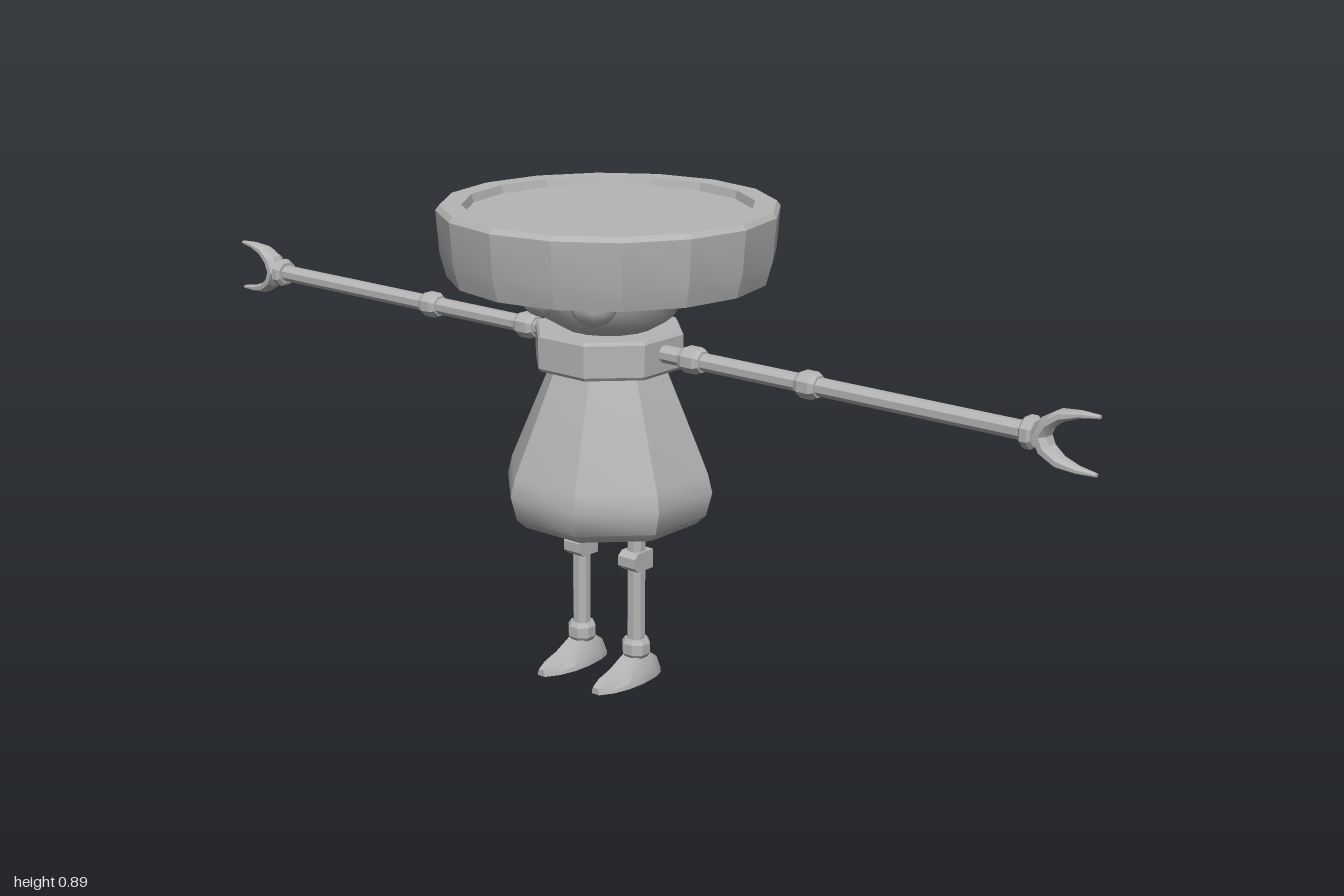
import * as THREE from 'three';
import { toCreasedNormals } from 'three/addons/utils/BufferGeometryUtils.js';

const grey = new THREE.MeshStandardMaterial({ color: 0xb5b5b5 });
grey.name = 'grey';

function add(parent, name, geometry, crease = 0.3) {
  const mesh = new THREE.Mesh(toCreasedNormals(geometry, crease), grey);
  mesh.name = name;
  parent.add(mesh);
  return mesh;
}

// Faceted turned shape; flats face the axes, and the radii are measured to the flats
function turned(profile, sides = 8) {
  const k = 1 / Math.cos(Math.PI / sides);
  const points = profile.map(([r, y]) => new THREE.Vector2(r * k, y));
  return new THREE.LatheGeometry(points, sides, Math.PI / sides);
}

// Rod or chamfered joint centred on the origin
const rod = (r, h) => turned([[0, -h], [r, -h], [r, h], [0, h]]);
const joint = (r, h) => turned([[0, -h], [r * 0.8, -h], [r, -h * 0.55], [r, h * 0.55], [r * 0.8, h], [0, h]]);

// Closed skin over a row of cross-sections
function loft(rings) {
  const n = rings[0].length, last = (rings.length - 1) * n, index = [];
  for (let i = 0; i < last; i += n) {
    for (let j = 0; j < n; j++) {
      const k = (j + 1) % n;
      index.push(i + j, i + k, i + n + j, i + k, i + n + k, i + n + j);
    }
  }
  for (let j = 1; j < n - 1; j++) {
    index.push(0, j + 1, j, last, last + j, last + j + 1);
  }
  const geometry = new THREE.BufferGeometry().setFromPoints(rings.flat());
  geometry.setIndex(index);
  return geometry;
}

// Open claw: a tapering band swept around a C
function clawGeometry() {
  // x, y, half thickness, half width
  const half = [
    [0.998, 0.047, 0.003, 0.005], [0.965, 0.045, 0.006, 0.011],
    [0.932, 0.038, 0.010, 0.017], [0.908, 0.022, 0.012, 0.021],
  ];
  const lower = half.map(([x, y, t, w]) => [x, -y, t, w]).reverse();
  const path = [...half, [0.897, 0, 0.014, 0.022], ...lower];
  const rings = path.map(([x, y, t, w], i) => {
    const a = path[Math.max(i - 1, 0)], b = path[Math.min(i + 1, path.length - 1)];
    const tangent = new THREE.Vector3(b[0] - a[0], b[1] - a[1], 0).normalize();
    const side = new THREE.Vector3(0, 0, 1);
    const out = tangent.clone().cross(side);
    return Array.from({ length: 8 }, (_, j) => {
      const angle = (j + 0.5) * Math.PI / 4;
      return new THREE.Vector3(x, y, 0)
        .addScaledVector(side, w * 1.08 * Math.cos(angle))
        .addScaledVector(out, t * 1.08 * Math.sin(angle));
    });
  });
  return loft(rings);
}

function footGeometry() {
  // z, half width of sole, half width of top, height
  const sections = [
    [-0.06, 0.010, 0.006, 0.006], [-0.045, 0.023, 0.012, 0.03],
    [-0.02, 0.031, 0.016, 0.047], [0.02, 0.035, 0.016, 0.045],
    [0.055, 0.033, 0.017, 0.026], [0.09, 0.024, 0.014, 0.018],
    [0.115, 0.009, 0.006, 0.012],
  ];
  return loft(sections.map(([z, w, t, h]) => [
    [w, 0], [w * 0.95, h * 0.35], [t, h], [-t, h], [-w * 0.95, h * 0.35], [-w, 0],
  ].map(([x, y]) => new THREE.Vector3(x, y, z))));
}

// Knee block with a chamfered front
function kneeGeometry() {
  const profile = [[-0.024, -0.018], [0.018, -0.018], [0.028, -0.009], [0.028, 0.009], [0.018, 0.018], [-0.024, 0.018]];
  const shape = new THREE.Shape(profile.map(([z, y]) => new THREE.Vector2(z, y)));
  return new THREE.ExtrudeGeometry(shape, { depth: 0.04, bevelEnabled: false })
    .translate(0, 0, -0.02).rotateY(-Math.PI / 2);
}

export function createModel() {
  const model = new THREE.Group();
  model.name = 'robot';

  // Wide flat hat with a sunken lid
  add(model, 'hat', new THREE.LatheGeometry([
    [0, 0.755], [0.29, 0.757], [0.302, 0.8], [0.308, 0.878], [0.301, 0.887],
    [0.262, 0.887], [0.258, 0.872], [0, 0.872],
  ].map(([x, y]) => new THREE.Vector2(x, y)), 16));

  // Rounded head and bulging eyes
  add(model, 'head', turned([
    [0, 0.655], [0.078, 0.662], [0.115, 0.684], [0.132, 0.715], [0.146, 0.76], [0, 0.76],
  ], 16), 0.7);
  for (const side of [1, -1]) {
    const eye = add(model, side > 0 ? 'leftEye' : 'rightEye', new THREE.SphereGeometry(0.043, 14, 10), 0.8);
    eye.position.set(side * 0.06, 0.733, 0.109);
  }

  // Collar and pear-shaped body with a sunken base
  add(model, 'collar', turned([
    [0, 0.593], [0.126, 0.593], [0.13, 0.599], [0.13, 0.657], [0.126, 0.663], [0, 0.663],
  ]));
  add(model, 'body', turned([
    [0, 0.32], [0.125, 0.32], [0.13, 0.303], [0.155, 0.303], [0.172, 0.32],
    [0.183, 0.365], [0.175, 0.4], [0.097, 0.6], [0, 0.6],
  ]), 0.65);

  for (const side of [1, -1]) {
    const label = side > 0 ? 'left' : 'right';

    // Arm along +x, turned round for the other side
    const arm = new THREE.Group();
    arm.name = label + 'Arm';
    arm.position.y = 0.632;
    arm.rotation.y = side > 0 ? 0 : Math.PI;
    const along = (name, geometry, x) => add(arm, name, geometry.rotateZ(-Math.PI / 2).translate(x, 0, 0));
    along('armRod', rod(0.015, 0.385), 0.495);
    along('shoulder', joint(0.023, 0.023), 0.197);
    along('elbow', joint(0.023, 0.021), 0.448);
    along('wrist', joint(0.026, 0.011), 0.878);
    add(arm, 'claw', clawGeometry(), 0.5);
    model.add(arm);

    // Leg
    const leg = new THREE.Group();
    leg.name = label + 'Leg';
    leg.position.x = side * 0.067;
    add(leg, 'legRod', rod(0.016, 0.145)).position.y = 0.185;
    add(leg, 'knee', kneeGeometry()).position.y = 0.232;
    add(leg, 'ankle', joint(0.025, 0.018)).position.y = 0.06;
    add(leg, 'foot', footGeometry(), 0.5);
    model.add(leg);
  }
  return model;
}
